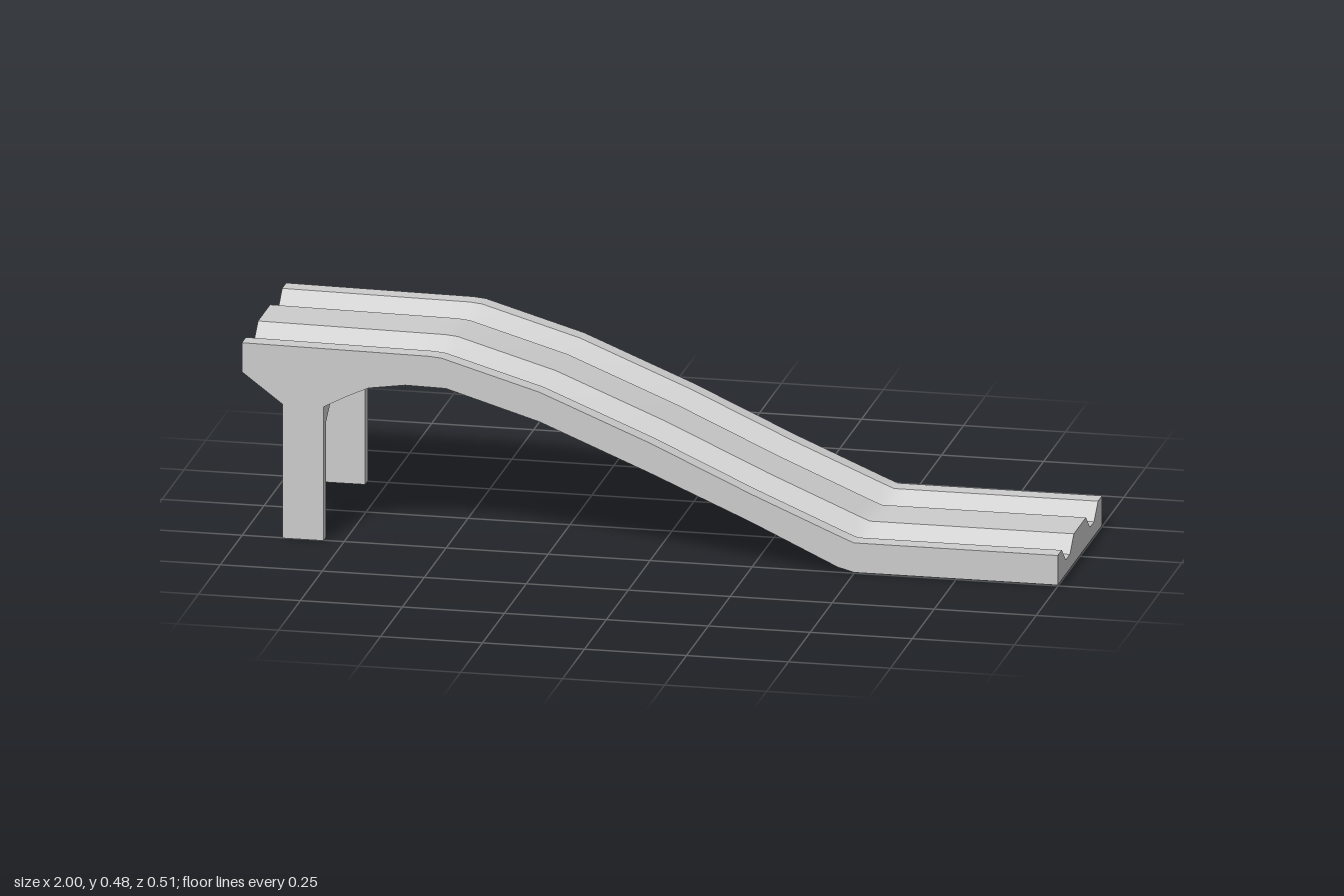
import * as THREE from 'three';
import { toCreasedNormals } from 'three/addons/utils/BufferGeometryUtils.js';

// Side profiles as [x, y]: the deck's upper surface and its underside
const TOP = [[-1, 0.483], [-0.54, 0.478], [-0.51, 0.475], [-0.27, 0.405], [0, 0.295],
  [0.25, 0.182], [0.47, 0.089], [0.5, 0.077], [0.53, 0.077], [1, 0.077]];
const UNDER = [[-1, 0.41], [-0.9, 0.335], [-0.8, 0.335], [-0.74, 0.366], [-0.69, 0.389],
  [-0.6, 0.402], [-0.5, 0.4], [-0.27, 0.331], [0, 0.22], [0.25, 0.112],
  [0.46, 0.014], [0.5, 0.003], [1, 0.003]];

// Cross-section of the upper surface as [z, depth], with two wheel grooves
const HALF = [[0.253, 0], [0.207, 0], [0.161, 0.038], [0.115, 0.038], [0.069, 0]];
const SECTION = [...HALF, ...HALF.map(([z, d]) => [-z, d]).reverse()];

function heightAt(profile, x) {
  const k = Math.max(1, profile.findIndex((p) => p[0] >= x));
  const [x0, y0] = profile[k - 1];
  const [x1, y1] = profile[k];
  return y0 + ((y1 - y0) * (x - x0)) / (x1 - x0);
}

// Grooved deck: the section swept along x, closed by caps at both ends
function deckGeometry() {
  const xs = [...new Set([...TOP, ...UNDER].map((p) => p[0]))].sort((a, b) => a - b);
  const n = SECTION.length;
  const rings = xs.map((x) => {
    const top = heightAt(TOP, x);
    const low = heightAt(UNDER, x);
    return [
      ...SECTION.map(([z, d]) => [x, top - d, z]),
      ...SECTION.map(([z]) => [x, low, z]).reverse(),
    ];
  });
  const pos = [];
  const quad = (a, b, c, d) => pos.push(...a, ...b, ...c, ...a, ...c, ...d);

  for (let s = 0; s < rings.length - 1; s++) {
    const a = rings[s];
    const b = rings[s + 1];
    for (let i = 0; i < 2 * n; i++) {
      const j = (i + 1) % (2 * n);
      quad(a[i], b[i], b[j], a[j]);
    }
  }
  const first = rings[0];
  const last = rings[rings.length - 1];
  for (let i = 0; i < n - 1; i++) {
    const u = 2 * n - 1 - i; // underside point below i
    quad(last[i], last[u], last[u - 1], last[i + 1]);
    quad(first[i], first[i + 1], first[u - 1], first[u]);
  }
  const geo = new THREE.BufferGeometry();
  geo.setAttribute('position', new THREE.Float32BufferAttribute(pos, 3));
  return toCreasedNormals(geo, THREE.MathUtils.degToRad(30));
}

// Thin leg with a chamfered inner shoulder, drawn in z/y and extruded along x
function legGeometry(side) {
  const outline = [[0.253, 0], [0.222, 0], [0.222, 0.29], [0.155, 0.335], [0.253, 0.335]];
  const shape = new THREE.Shape(outline.map(([z, y]) => new THREE.Vector2(-side * z, y)));
  return new THREE.ExtrudeGeometry(shape, { depth: 0.1, bevelEnabled: false })
    .rotateY(Math.PI / 2)
    .translate(-0.9, 0, 0);
}

export function createModel() {
  const model = new THREE.Group();
  model.name = 'trackRamp';
  const grey = new THREE.MeshStandardMaterial({ color: 0xcccccc });
  grey.name = 'light grey';

  const add = (name, geometry) => {
    const mesh = new THREE.Mesh(geometry, grey);
    mesh.name = name;
    model.add(mesh);
  };
  add('groovedDeck', deckGeometry());
  add('frontLeg', legGeometry(1));
  add('backLeg', legGeometry(-1));
  return model;
}
